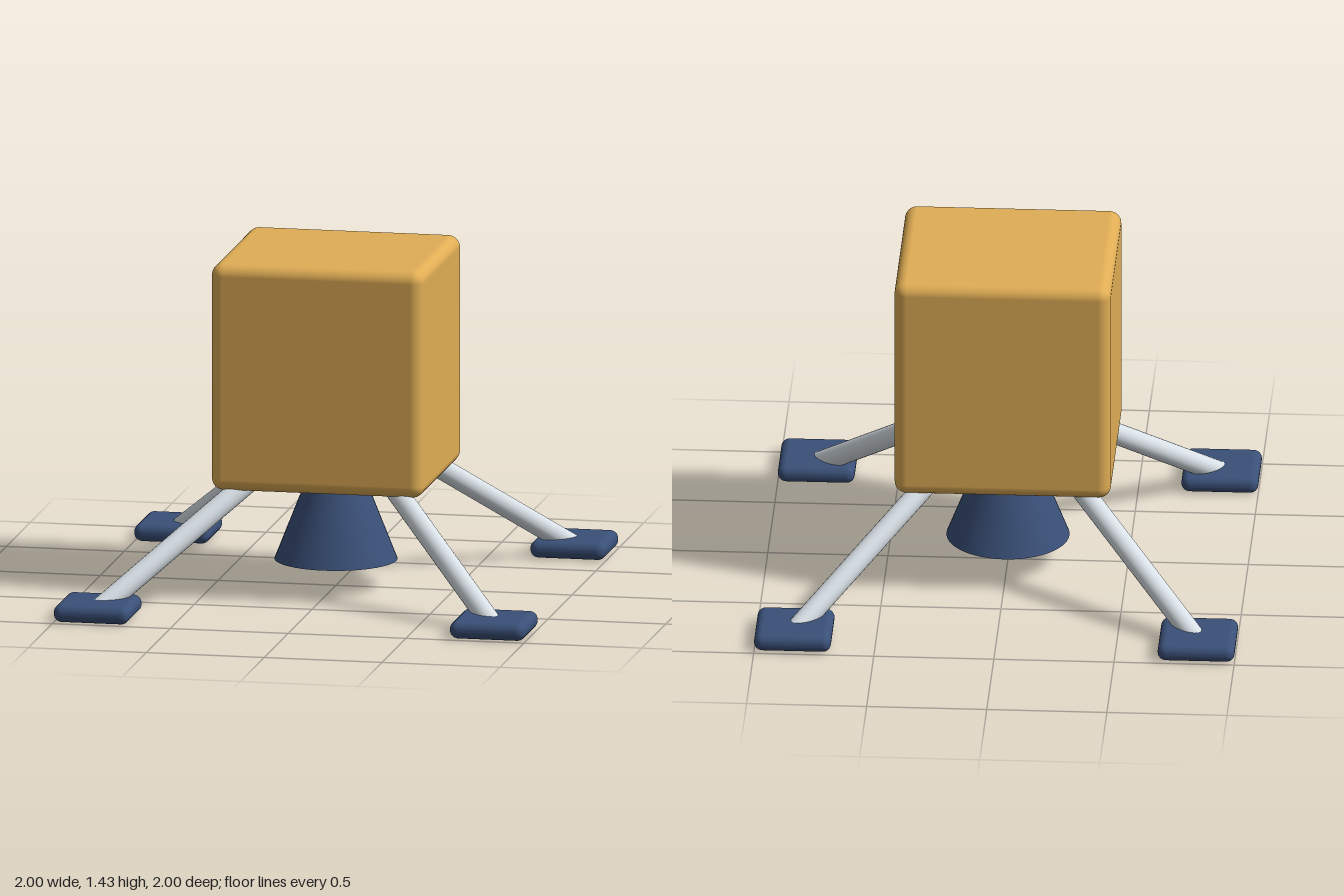
import * as THREE from 'three';
import { RoundedBoxGeometry } from 'three/addons/geometries/RoundedBoxGeometry.js';

const gold = new THREE.MeshStandardMaterial({ color: 0xe0ad55 });
const navy = new THREE.MeshStandardMaterial({ color: 0x3a5078 });
const silver = new THREE.MeshStandardMaterial({ color: 0xd8e0e6 });

function addMesh(parent, name, geometry, material, x, y, z) {
  const mesh = new THREE.Mesh(geometry, material);
  mesh.name = name;
  mesh.position.set(x, y, z);
  parent.add(mesh);
  return mesh;
}

export function createModel() {
  const model = new THREE.Group();
  model.name = 'lander';

  // Main cabin
  addMesh(model, 'body', new RoundedBoxGeometry(0.9, 0.962, 0.834, 5, 0.05), gold, 0, 0.944, 0);

  // Engine bell hanging just below the cabin
  addMesh(model, 'engineNozzle', new THREE.CylinderGeometry(0.13, 0.256, 0.32, 48), navy, 0, 0.272, 0);

  // Four splayed legs, each sunk into the cabin floor and the centre of its foot pad
  const padGeometry = new RoundedBoxGeometry(0.32, 0.074, 0.32, 5, 0.035);
  const up = new THREE.Vector3(0, 1, 0);
  for (const sx of [-1, 1]) {
    for (const sz of [-1, 1]) {
      const leg = new THREE.Group();
      leg.name = `${sz > 0 ? 'front' : 'back'}${sx > 0 ? 'Left' : 'Right'}Leg`;
      const foot = new THREE.Vector3(sx * 0.83, 0.036, sz * 0.83);
      const hip = new THREE.Vector3(sx * 0.28, 0.512, sz * 0.28);
      const axis = hip.clone().sub(foot);
      const mid = hip.clone().add(foot).multiplyScalar(0.5);
      const strutGeometry = new THREE.CylinderGeometry(0.045, 0.045, axis.length(), 24);
      const strut = addMesh(leg, 'strut', strutGeometry, silver, mid.x, mid.y, mid.z);
      strut.quaternion.setFromUnitVectors(up, axis.normalize());
      addMesh(leg, 'footPad', padGeometry, navy, sx * 0.84, 0.037, sz * 0.84);
      model.add(leg);
    }
  }
  return model;
}
